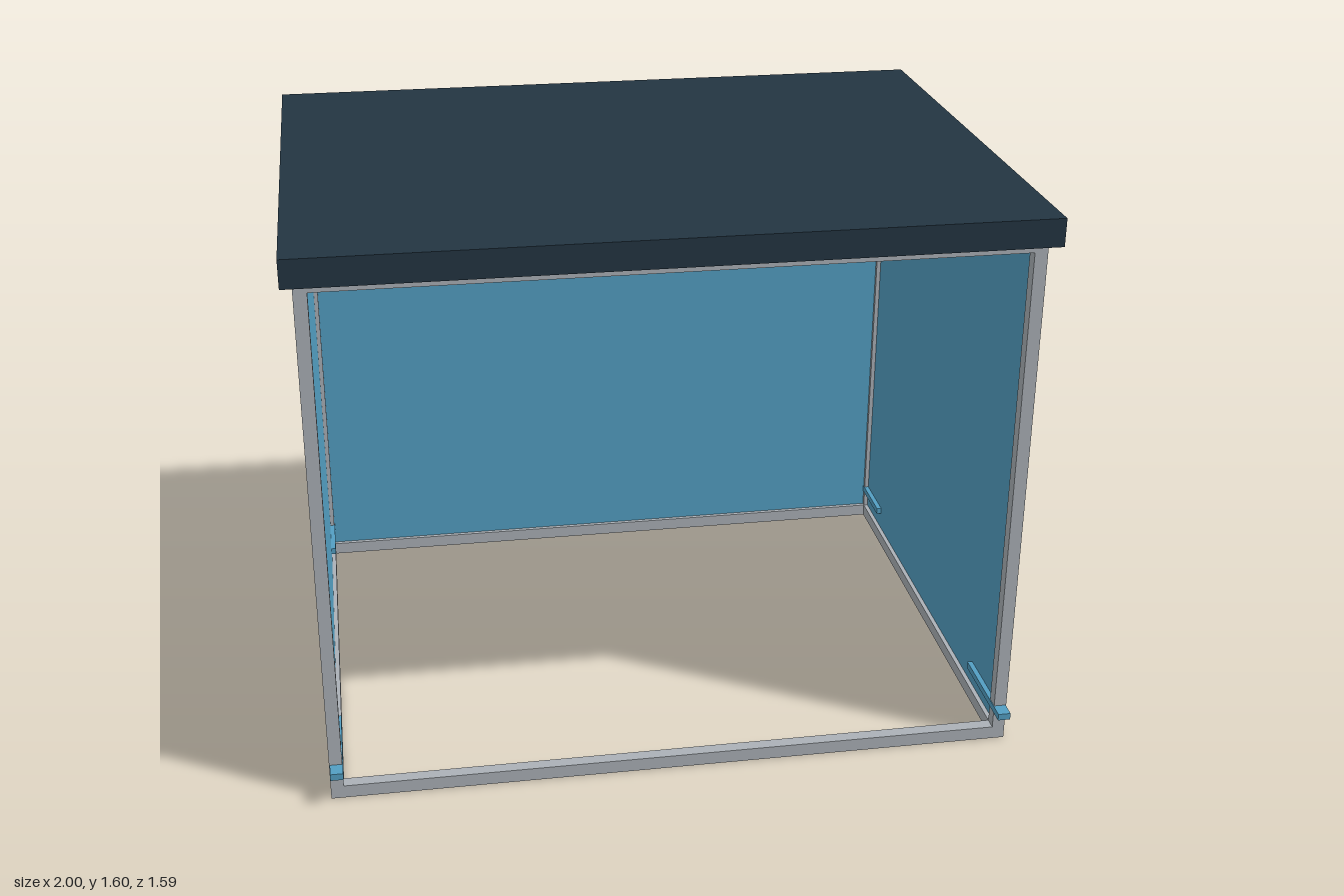
import * as THREE from 'three';

export function createModel() {
  const model = new THREE.Group();
  model.name = 'shelter';

  const material = (name, color) => {
    const m = new THREE.MeshStandardMaterial({ color });
    m.name = name;
    return m;
  };
  const metal = material('frame grey', 0xabb1b7);
  const blue = material('panel blue', 0x539fc3);
  const dark = material('roof navy', 0x233542);

  // Box given by its limits on each axis
  const box = (name, mat, [x0, x1], [y0, y1], [z0, z1], parent = model) => {
    const mesh = new THREE.Mesh(new THREE.BoxGeometry(x1 - x0, y1 - y0, z1 - z0), mat);
    mesh.position.set((x0 + x1) / 2, (y0 + y1) / 2, (z0 + z1) / 2);
    mesh.name = name;
    parent.add(mesh);
  };

  const X = 0.97, FRONT = 0.75, BACK = -0.71, TOP = 1.522, T = 0.036;

  // Flat roof slab overhanging the frame
  box('roof', dark, [-1, 1], [TOP, 1.6], [-0.745, 0.783]);

  // Square-tube frame: four posts, and rails around the bottom and top
  const frame = new THREE.Group();
  frame.name = 'frame';
  model.add(frame);
  const sides = [['left', X - T, X], ['right', -X, -X + T]];
  const ends = [['front', FRONT - T, FRONT], ['back', BACK, BACK + T]];
  const levels = [['bottom', 0, 0.038], ['top', 1.498, TOP]];

  for (const [side, x0, x1] of sides)
    for (const [end, z0, z1] of ends)
      box(`${end} ${side} post`, metal, [x0, x1], [0, TOP], [z0, z1], frame);

  for (const [level, y0, y1] of levels) {
    for (const [side, x0, x1] of sides)
      box(`${level} ${side} rail`, metal, [x0, x1], [y0, y1], [BACK + T, FRONT - T], frame);
    for (const [end, z0, z1] of ends)
      box(`${level} ${end} rail`, metal, [-X + T, X - T], [y0, y1], [z0, z1], frame);
  }

  // Thin wall panels set in the middle of the frame; the front stays open
  const mid = X - T / 2, half = 0.005, wallY = [0.038, 1.498];
  for (const [side, s] of [['left', 1], ['right', -1]])
    box(`${side} panel`, blue, [s * mid - half, s * mid + half], wallY, [BACK + T, FRONT - T]);
  const zMid = BACK + T / 2;
  box('back panel', blue, [-X + T, X - T], wallY, [zMid - half, zMid + half]);

  // Low bars running through the side panels and out past the posts
  for (const [side, s] of [['left', 1], ['right', -1]])
    for (const [end, z0, z1] of [['front', 0.507, 0.795], ['back', -0.795, -0.505]])
      box(`${end} ${side} bar`, blue, [s * 0.95 - 0.018, s * 0.95 + 0.018], [0.09, 0.11], [z0, z1]);

  return model;
}
